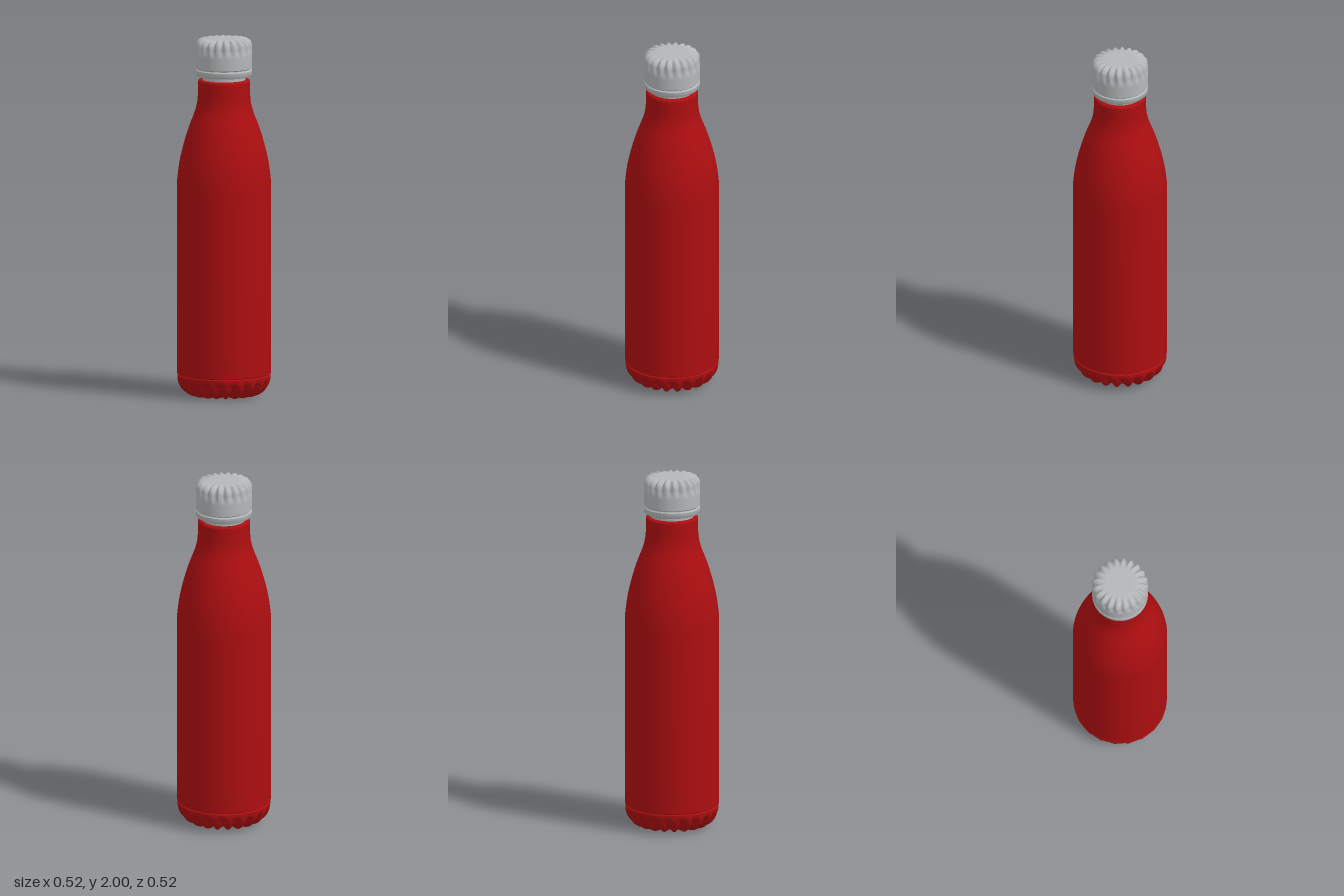
import * as THREE from 'three';
import { toCreasedNormals } from 'three/addons/utils/BufferGeometryUtils.js';

const FLUTES = 20;
const SEGMENTS = 240;
const { smoothstep } = THREE.MathUtils;

// Points of a quarter ellipse between two angles, for rounded edges
function arc(cx, cy, rx, ry, from, to, steps) {
  return Array.from({ length: steps + 1 }, (_, i) => {
    const a = from + (to - from) * i / steps;
    return [cx + rx * Math.cos(a), cy + ry * Math.sin(a)];
  });
}

// Turned part; profile runs from the bottom to the top
function turned(name, profile, material, deform) {
  const points = profile.map(([r, y]) => new THREE.Vector2(r, y));
  const geometry = new THREE.LatheGeometry(points, SEGMENTS);
  if (deform) deform(geometry.attributes.position);
  const mesh = new THREE.Mesh(toCreasedNormals(geometry, 0.75), material);
  mesh.name = name;
  return mesh;
}

// Presses scoops into a rounded edge: inward by depth, and vertically by lift
function flute(depth, lift, weight) {
  return (position) => {
    for (let i = 0; i < position.count; i++) {
      const x = position.getX(i), y = position.getY(i), z = position.getZ(i);
      const r = Math.hypot(x, z);
      if (r < 1e-4) continue;
      const scoop = (0.5 + 0.5 * Math.cos(FLUTES * Math.atan2(x, z))) * weight(r, y);
      const k = (r - depth * scoop) / r;
      position.setXYZ(i, x * k, y + lift * scoop, z * k);
    }
  };
}

export function createModel() {
  const red = new THREE.MeshStandardMaterial({ color: 0xac0e10 });
  red.name = 'red paint';
  const grey = new THREE.MeshStandardMaterial({ color: 0xb3b7b7 });
  grey.name = 'light grey metal';
  const group = new THREE.Group();
  group.name = 'bottle';

  // Fluted foot with a narrow groove above it
  const foot = [
    [0, 0.004], [0.05, 0.004], [0.09, 0.004], [0.115, 0.004], [0.14, 0.004],
    ...arc(0.155, 0.109, 0.103, 0.105, -Math.PI / 2, 0, 16),
    [0.258, 0.12], [0.252, 0.125], [0.252, 0.13],
  ];
  group.add(turned('flutedBase', foot, red, flute(0.014, 0.016,
    (r, y) => smoothstep(r, 0.1, 0.18) * (1 - smoothstep(y, 0.06, 0.108)))));

  // Straight wall, sloping shoulder and neck
  const shoulder = new THREE.SplineCurve([
    [0.261, 1.16], [0.258, 1.22], [0.246, 1.31], [0.223, 1.41], [0.192, 1.51],
    [0.165, 1.58], [0.151, 1.63], [0.145, 1.68], [0.144, 1.75],
  ].map(([r, y]) => new THREE.Vector2(r, y)));
  const wall = [
    [0.252, 0.125], [0.259, 0.13], [0.26, 0.3], [0.261, 0.94], [0.261, 1.08],
    ...shoulder.getPoints(48).map((p) => [p.x, p.y]),
    ...arc(0.132, 1.757, 0.012, 0.012, 0, Math.PI / 2, 5),
    [0.11, 1.769],
  ];
  group.add(turned('body', wall, red));

  // Collar between neck and cap
  group.add(turned('collar', [[0.12, 1.74], [0.12, 1.81]], grey));

  // Cap: lower band, groove, wall and fluted top edge
  const cap = [
    [0.1, 1.79], [0.148, 1.79], [0.154, 1.796], [0.155, 1.822], [0.149, 1.828],
    [0.149, 1.831], [0.155, 1.836],
    ...Array.from({ length: 12 }, (_, i) => [0.155, 1.845 + i * 0.01]),
    ...arc(0.117, 1.962, 0.038, 0.038, 0, Math.PI / 2, 12),
    [0.105, 2], [0.09, 2], [0.075, 2], [0.06, 2], [0.03, 2], [0, 2],
  ];
  group.add(turned('cap', cap, grey, flute(0.012, -0.012,
    (r, y) => smoothstep(r, 0.08, 0.14) * smoothstep(y, 1.9, 1.965))));

  return group;
}
